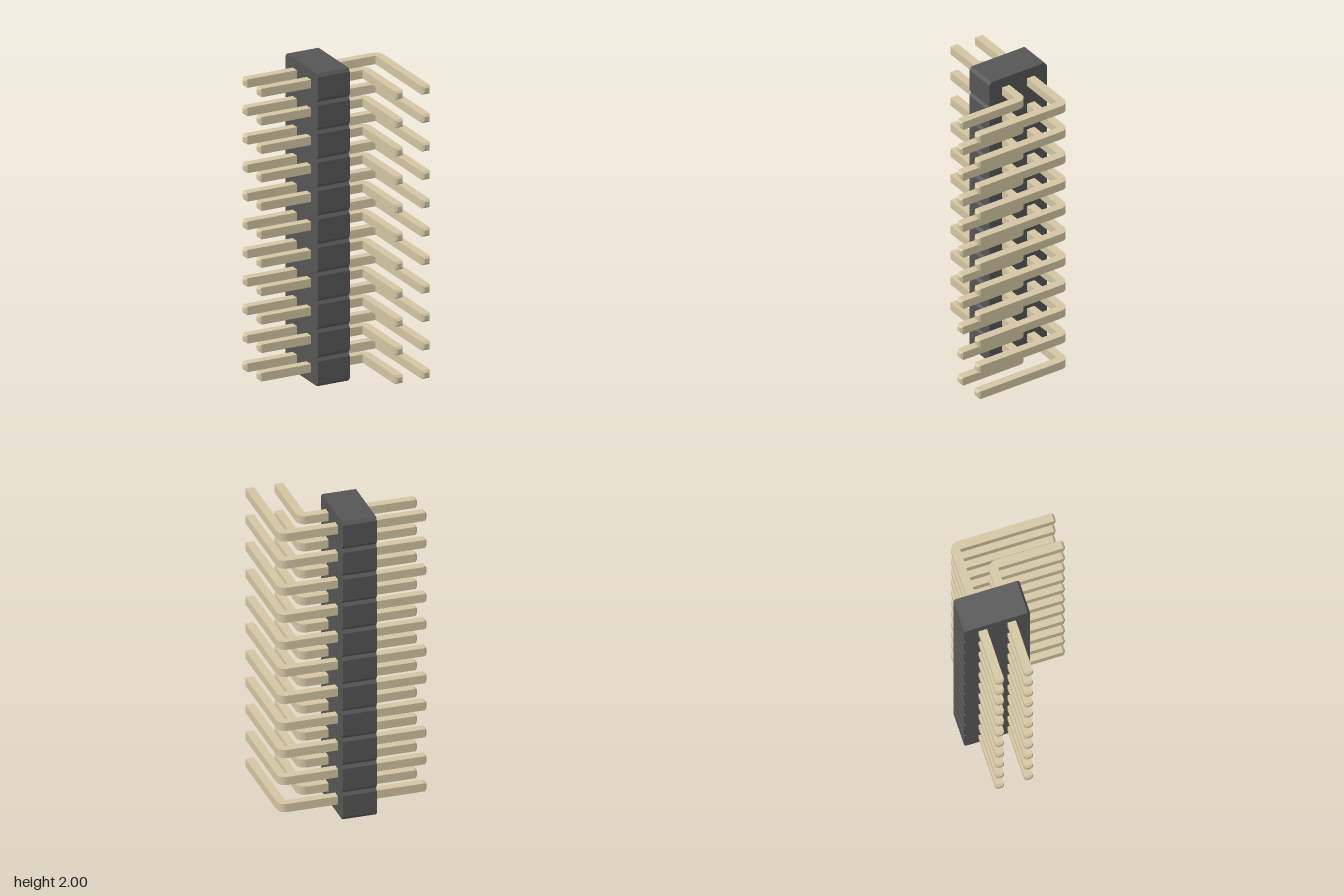
import * as THREE from 'three';
import { toCreasedNormals } from 'three/addons/utils/BufferGeometryUtils.js';

const ROWS = 11;
const PITCH = 2 / ROWS;
const HALF = 0.027; // half the pin thickness

// Housing: scalloped outline with a chamfer at both ends of every cell
function housingGeometry() {
  const front = 0.04, back = -0.375, inset = 0.015, rise = 0.02;
  const shape = new THREE.Shape();
  // shape x is -z, so the back is on the right
  for (let i = 0; i < ROWS; i++) {
    const y = i * PITCH;
    if (i === 0) shape.moveTo(-back - inset, 0);
    shape.lineTo(-back, y + rise);
    shape.lineTo(-back, y + PITCH - rise);
    shape.lineTo(-back - inset, y + PITCH);
  }
  for (let i = ROWS; i > 0; i--) {
    const y = i * PITCH;
    shape.lineTo(-front + inset, y);
    shape.lineTo(-front, y - rise);
    shape.lineTo(-front, y - PITCH + rise);
  }
  shape.lineTo(-front + inset, 0);
  const geo = new THREE.ExtrudeGeometry(shape, { depth: 0.215, bevelEnabled: false });
  return geo.rotateY(Math.PI / 2).translate(-0.12, 0, 0);
}

// Bent pin: square section swept along +x, round the corner, then along +z
function pinGeometry(cx, cz) {
  const startX = -0.467, endZ = 0.373, tip = 0.013, steps = 8, r = 0.001;
  const rings = []; // each: outer x, outer z, inner x, inner z, half height
  const alongX = (x, h) => rings.push([x, cz - h, x, cz + h, h]);
  const alongZ = (z, h) => rings.push([cx + h, z, cx - h, z, h]);
  alongX(startX, HALF - tip);
  alongX(startX + tip, HALF);
  const px = cx - HALF - r, pz = cz + HALF + r; // bend centre
  for (let i = 0; i <= steps; i++) {
    const a = (i / steps) * Math.PI / 2, s = Math.sin(a), c = Math.cos(a);
    const R = 2 * HALF + r;
    rings.push([px + R * s, pz - R * c, px + r * s, pz - r * c, HALF]);
  }
  alongZ(endZ - tip, HALF);
  alongZ(endZ, HALF - tip);

  const pos = [], index = [];
  for (const [ox, oz, ix, iz, h] of rings) {
    pos.push(ox, h, oz, ix, h, iz, ix, -h, iz, ox, -h, oz);
  }
  // corner order runs from the outer top, so fix the winding along the sweep
  for (let k = 0; k < rings.length - 1; k++) {
    for (let j = 0; j < 4; j++) {
      const a = k * 4 + j, b = k * 4 + (j + 1) % 4;
      index.push(a, b, b + 4, a, b + 4, a + 4);
    }
  }
  const e = (rings.length - 1) * 4;
  index.push(0, 2, 1, 0, 3, 2, e, e + 1, e + 2, e, e + 2, e + 3);
  const geo = new THREE.BufferGeometry();
  geo.setAttribute('position', new THREE.Float32BufferAttribute(pos, 3));
  geo.setIndex(index);
  return toCreasedNormals(geo, Math.PI / 7);
}

export function createModel() {
  const model = new THREE.Group();
  model.name = 'pinHeader';
  const plastic = new THREE.MeshStandardMaterial({ color: 0x555555 });
  const metal = new THREE.MeshStandardMaterial({ color: 0xd2c4a2 });

  const housing = new THREE.Mesh(housingGeometry(), plastic);
  housing.name = 'housing';
  model.add(housing);

  // Two pins per cell: a long outer one and a short inner one
  const kinds = [
    ['outerPin', pinGeometry(0.439, -0.258)],
    ['innerPin', pinGeometry(0.257, -0.077)],
  ];
  for (let i = 0; i < ROWS; i++) {
    for (const [name, geo] of kinds) {
      const pin = new THREE.Mesh(geo, metal);
      pin.name = name + (i + 1);
      pin.position.y = (i + 0.5) * PITCH;
      model.add(pin);
    }
  }
  return model;
}
